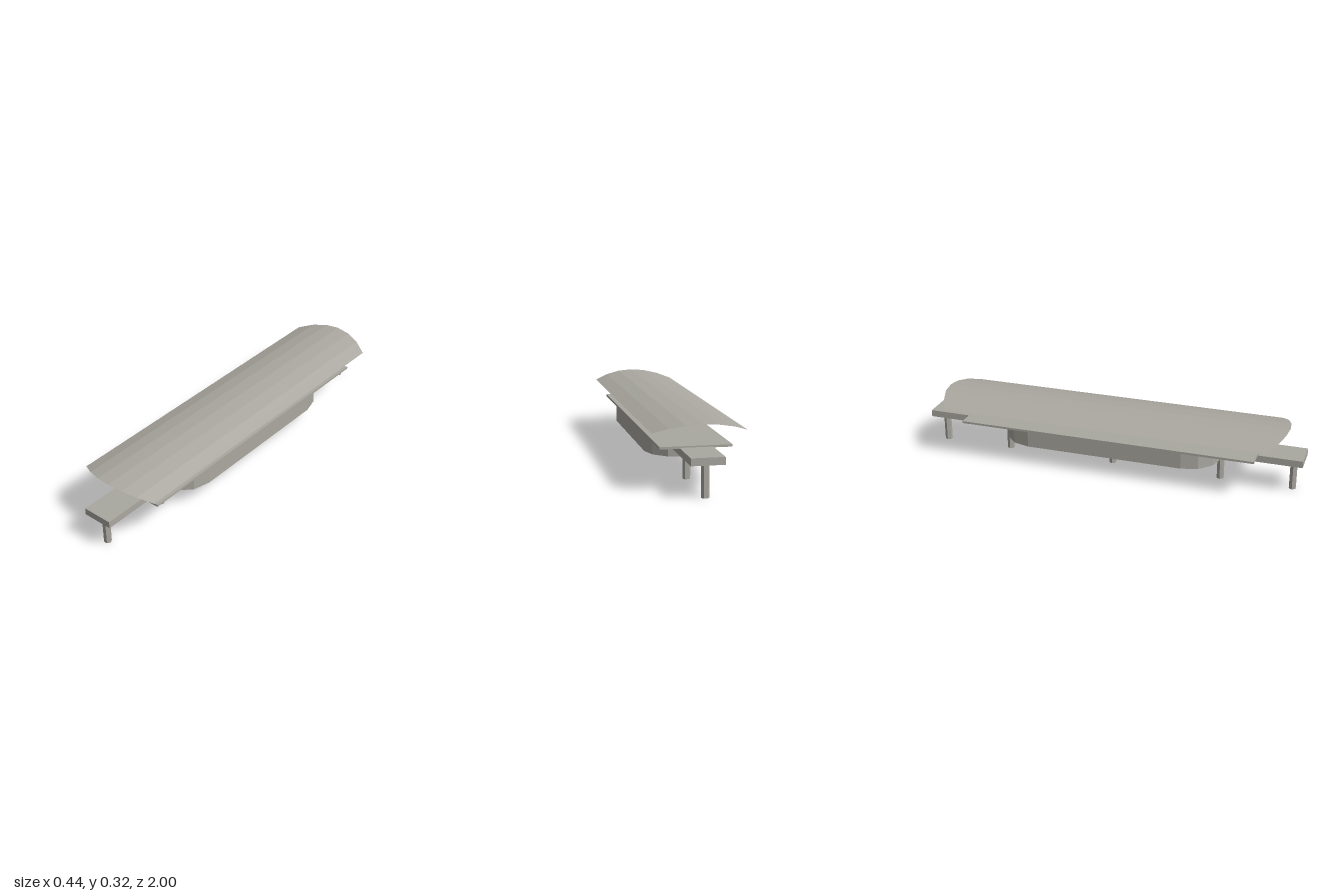
import * as THREE from 'three';

export function createModel() {
  const model = new THREE.Group();
  model.name = 'shelteredPlatform';
  const stone = new THREE.MeshStandardMaterial({ color: 0xaaa8a0 });
  stone.name = 'warm grey';
  const sheet = new THREE.MeshStandardMaterial({ color: 0xaaa8a0, side: THREE.DoubleSide });
  sheet.name = 'warm grey sheet';

  const add = (name, geometry, x, y, z, material = stone) => {
    const mesh = new THREE.Mesh(geometry, material);
    mesh.name = name;
    mesh.position.set(x, y, z);
    model.add(mesh);
    return mesh;
  };

  // Hull: a long block with faceted round ends
  const halfWidth = 0.17, endCentre = 0.408, outline = [];
  for (const s of [1, -1]) {
    for (let i = 0; i <= 6; i++) {
      const a = (i / 6) * Math.PI;
      outline.push(new THREE.Vector2(s * halfWidth * Math.cos(a), s * (endCentre + halfWidth * Math.sin(a))));
    }
  }
  const hull = new THREE.ExtrudeGeometry(new THREE.Shape(outline), { depth: 0.083, bevelEnabled: false });
  hull.rotateX(-Math.PI / 2);
  add('hull', hull, 0, 0.105, 0);

  // Thin deck plate overhanging the hull at both ends
  add('deck', new THREE.BoxGeometry(2 * halfWidth, 0.011, 1.55), 0, 0.1925, 0);

  // Narrow walkways and hexagonal legs
  const leg = (name, height, z) => {
    const g = new THREE.CylinderGeometry(0.019, 0.019, height, 6).toNonIndexed();
    g.computeVertexNormals();
    g.rotateY(Math.PI / 2);
    add(name, g, 0, height / 2, z);
  };
  leg('centreLeg', 0.106, 0);
  for (const [side, s] of [['front', 1], ['back', -1]]) {
    add(side + 'Walkway', new THREE.BoxGeometry(0.156, 0.035, 0.48), 0, 0.1735, s * 0.76);
    leg(side + 'InnerLeg', 0.157, s * 0.577);
    leg(side + 'OuterLeg', 0.157, s * 0.947);
  }

  // Canopy: an arched sheet, longest along its ridge
  const radius = 0.56, halfAngle = Math.asin(0.22 / radius), points = [], index = [];
  for (let i = 0; i <= 6; i++) {
    const a = (i / 3 - 1) * halfAngle;
    const drop = radius * (1 - Math.cos(a));
    const z = 0.917 - drop * 1.6;
    points.push(radius * Math.sin(a), -drop, z, radius * Math.sin(a), -drop, -z);
    if (i < 6) index.push(2 * i, 2 * i + 2, 2 * i + 1, 2 * i + 1, 2 * i + 2, 2 * i + 3);
  }
  let canopy = new THREE.BufferGeometry();
  canopy.setAttribute('position', new THREE.Float32BufferAttribute(points, 3));
  canopy.setIndex(index);
  canopy = canopy.toNonIndexed();
  canopy.computeVertexNormals();
  add('canopy', canopy, 0, 0.321, 0, sheet);

  return model;
}
